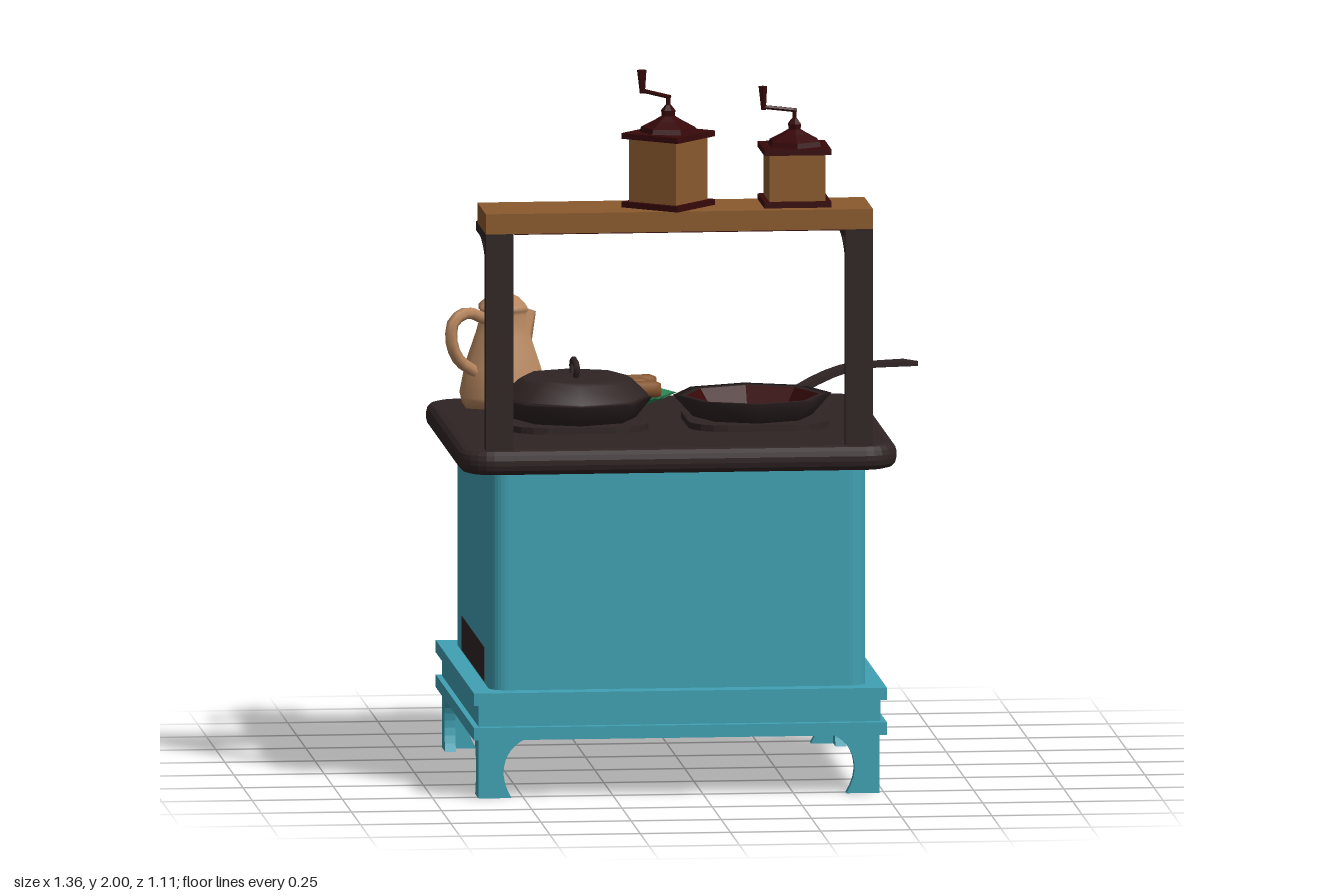
import * as THREE from 'three';

const colour = (name, hex, extra = {}) => {
  const m = new THREE.MeshStandardMaterial({ color: hex, ...extra });
  m.name = name;
  return m;
};

export function createModel() {
  const flat = { flatShading: true };
  const teal = colour('teal enamel', 0x40a1b3);
  const iron = colour('dark iron', 0x302424);
  const wood = colour('shelf wood', 0x8a5a2d, flat);
  const maroon = colour('dark red', 0x37080a, flat);
  const tan = colour('tan ceramic', 0xb98860);
  const green = colour('green glaze', 0x2e8b57);
  const brass = colour('brass', 0xbfa535);
  const brown = colour('sausage brown', 0x85532b);
  const cream = colour('egg white', 0xdaac7a, flat);
  const yolkMat = colour('egg yolk', 0x9a6c38, flat);

  const model = new THREE.Group();
  model.name = 'kitchenStove';

  const add = (name, geo, mat, x = 0, y = 0, z = 0, parent = model) => {
    const m = new THREE.Mesh(geo, mat);
    m.name = name;
    m.position.set(x, y, z);
    parent.add(m);
    return m;
  };
  // Box given by its minimum and maximum corners
  const box = (name, mat, x0, x1, y0, y1, z0, z1, parent = model) =>
    add(name, new THREE.BoxGeometry(x1 - x0, y1 - y0, z1 - z0), mat,
      (x0 + x1) / 2, (y0 + y1) / 2, (z0 + z1) / 2, parent);
  const lathe = (name, mat, pts, sides, x, y, z, parent = model) =>
    add(name, new THREE.LatheGeometry(pts.map(p => new THREE.Vector2(...p)), sides), mat, x, y, z, parent);
  // Tapered rod between two points
  const rod = (name, mat, a, b, r0, r1, parent = model, sides = 6) => {
    const p = new THREE.Vector3(...a), d = new THREE.Vector3(...b).sub(p);
    const m = add(name, new THREE.CylinderGeometry(r1, r0, d.length(), sides), mat, 0, 0, 0, parent);
    m.position.copy(p).addScaledVector(d, 0.5);
    m.quaternion.setFromUnitVectors(new THREE.Vector3(0, 1, 0), d.normalize());
    return m;
  };
  // Slab with rounded corners in plan and an optional bevelled rim
  const slab = (name, mat, x0, x1, y0, y1, z0, z1, r, bevel, steps = 4) => {
    const w = (x1 - x0) / 2 - bevel, d = (z1 - z0) / 2 - bevel, s = new THREE.Shape();
    s.absarc(w - r, d - r, r, 0, Math.PI / 2);
    s.absarc(r - w, d - r, r, Math.PI / 2, Math.PI);
    s.absarc(r - w, r - d, r, Math.PI, Math.PI * 1.5);
    s.absarc(w - r, r - d, r, Math.PI * 1.5, Math.PI * 2);
    const geo = new THREE.ExtrudeGeometry(s, {
      depth: y1 - y0 - 2 * bevel, bevelEnabled: bevel > 0, bevelThickness: bevel,
      bevelSize: bevel, bevelSegments: 3, curveSegments: steps,
    }).rotateX(-Math.PI / 2);
    return add(name, geo, mat, (x0 + x1) / 2, y0 + bevel, (z0 + z1) / 2);
  };
  // Rectangular ring, open inside
  const frame = (name, mat, x0, x1, y0, y1, z0, z1, wall) => {
    const w = (x1 - x0) / 2, d = (z1 - z0) / 2;
    const rect = (a, b) => [[-a, -b], [a, -b], [a, b], [-a, b]].map(p => new THREE.Vector2(...p));
    const s = new THREE.Shape(rect(w, d));
    s.holes.push(new THREE.Path(rect(w - wall, d - wall)));
    const geo = new THREE.ExtrudeGeometry(s, { depth: y1 - y0, bevelEnabled: false }).rotateX(-Math.PI / 2);
    return add(name, geo, mat, (x0 + x1) / 2, y0, (z0 + z1) / 2);
  };

  // Stove body, hollow plinth with mouldings, and cooktop
  slab('body', teal, -0.59, 0.455, 0.295, 0.91, -0.45, 0.495, 0.05, 0);
  box('upperMoulding', teal, -0.64, 0.505, 0.262, 0.296, -0.5, 0.55);
  box('plinth', teal, -0.625, 0.49, 0.225, 0.262, -0.48, 0.525);
  frame('plinthSkirt', teal, -0.625, 0.49, 0.2, 0.225, -0.48, 0.525, 0.03);
  frame('lowerMoulding', teal, -0.64, 0.505, 0.165, 0.2, -0.5, 0.55, 0.047);
  slab('cooktop', iron, -0.675, 0.541, 0.9, 0.97, -0.515, 0.55, 0.066, 0.028, 3);
  box('rightVent', iron, 0.449, 0.456, 0.3, 0.395, -0.28, 0.34);
  box('leftVent', iron, -0.591, -0.584, 0.3, 0.395, -0.28, 0.34);

  // Bracket feet: two curved plates meeting at each corner
  const foot = new THREE.Shape();
  foot.moveTo(0, 0);
  foot.lineTo(0.092, 0);
  foot.quadraticCurveTo(0.058, 0.055, 0.075, 0.105);
  foot.quadraticCurveTo(0.09, 0.148, 0.135, 0.166);
  foot.lineTo(0, 0.166);
  const plateA = new THREE.ExtrudeGeometry(foot, { depth: 0.03, bevelEnabled: false, curveSegments: 5 });
  const plateB = plateA.clone().rotateY(-Math.PI / 2).translate(0.03, 0, 0);
  [[-0.625, -0.48], [-0.625, 0.525], [0.487, 0.525], [0.487, -0.48]].forEach(([x, z], i) => {
    const g = new THREE.Group();
    g.name = 'foot';
    g.position.set(x, 0, z);
    g.rotation.y = i * Math.PI / 2;
    add('footPlate', plateA, teal, 0, 0, 0, g);
    add('footPlate', plateB, teal, 0, 0, 0, g);
    model.add(g);
  });

  // Four knobs on the back
  for (const x of [-0.41, 0.278]) for (const y of [0.455, 0.765]) {
    rod('knobStem', wood, [x, y, -0.44], [x, y, -0.5], 0.02, 0.038);
    const ball = lathe('knob', brass, [[0, 0], [0.036, 0.002], [0.046, 0.022], [0.03, 0.047], [0, 0.06]], 8, x, y, -0.495);
    ball.rotation.x = -Math.PI / 2;
  }

  // Shelf with posts and curved brackets
  box('shelf', wood, -0.605, 0.468, 1.572, 1.628, 0.297, 0.53);
  box('shelfUnderside', maroon, -0.525, 0.388, 1.569, 1.574, 0.3, 0.525);
  const arc = new THREE.Shape();
  arc.absellipse(0.275, 1.37, 0.228, 0.178, 0, Math.PI / 2, false);
  arc.lineTo(0.275, 1.534);
  arc.absellipse(0.275, 1.37, 0.214, 0.164, Math.PI / 2, 0, true);
  // Turn the profile so that its x runs along z
  const arcGeo = new THREE.ExtrudeGeometry(arc, { depth: 0.06, bevelEnabled: false, curveSegments: 8 })
    .rotateY(-Math.PI / 2);
  for (const x of [-0.567, 0.43]) {
    box('post', iron, x - 0.038, x + 0.038, 0.96, 1.572, 0.498, 0.53);
    box('shelfSupport', iron, x - 0.038, x + 0.038, 1.546, 1.572, 0.26, 0.53);
    add('shelfBracket', arcGeo, iron, x + 0.03, 0, 0);
  }

  // Coffee grinders
  const grinder = (x, z, turn, h) => {
    const g = new THREE.Group();
    g.name = 'coffeeGrinder';
    g.position.set(x, 1.628, z);
    g.rotation.y = turn;
    const s = 0.093, top = h + 0.032;
    box('grinderBase', maroon, -s, s, 0, 0.016, -s, s, g);
    box('grinderBox', wood, -0.078, 0.078, 0.016, h + 0.016, -0.078, 0.078, g);
    box('grinderCap', maroon, -s, s, h + 0.016, top, -s, s, g);
    lathe('grinderDome', maroon, [[0.08, 0], [0.075, 0.014], [0.04, 0.032], [0.018, 0.045],
      [0.02, 0.06], [0.008, 0.075], [0, 0.075]], 6, 0, top, 0, g);
    rod('crankShaft', maroon, [0, top + 0.06, 0], [0, top + 0.1, 0], 0.006, 0.006, g);
    rod('crankArm', maroon, [0.006, top + 0.097, 0], [-0.088, top + 0.108, 0], 0.006, 0.006, g);
    rod('crankHandle', maroon, [-0.086, top + 0.1, 0], [-0.088, top + 0.165, 0], 0.007, 0.013, g);
    model.add(g);
  };
  grinder(-0.088, 0.417, -0.69, 0.175);
  grinder(0.264, 0.399, 0, 0.13);

  // Burner plates, square with clipped corners
  for (const x of [-0.31, 0.19])
    slab('burner', iron, x - 0.195, x + 0.195, 0.965, 0.988, -0.152, 0.238, 0.1, 0, 2);

  // Lidded pan with loop handle
  lathe('coveredPan', iron, [[0, 0], [0.17, 0], [0.215, 0.055], [0.2, 0.06]], 8, -0.31, 0.988, 0.043);
  lathe('panLid', iron, [[0.2, 0], [0.205, 0.008], [0.16, 0.052], [0.145, 0.062], [0, 0.066]], 8, -0.31, 1.043, 0.043);
  const loop = new THREE.CatmullRomCurve3([[-0.045, 0], [-0.058, 0.03], [-0.035, 0.042], [0.035, 0.042],
    [0.058, 0.03], [0.045, 0]].map(([z, y]) => new THREE.Vector3(0, y, z)));
  add('lidHandle', new THREE.TubeGeometry(loop, 14, 0.009, 6), iron, -0.31, 1.103, 0.043);

  // Frying pan
  lathe('fryingPan', iron, [[0, 0], [0.165, 0], [0.22, 0.06], [0.185, 0.058]], 8, 0.183, 0.988, 0.043);
  lathe('panInside', maroon, [[0.185, 0.058], [0.15, 0.012], [0, 0.012]], 8, 0.183, 0.988, 0.043);
  const grip = new THREE.Shape();
  grip.moveTo(0, 0);
  grip.quadraticCurveTo(0.16, 0.055, 0.28, 0.042);
  grip.lineTo(0.425, 0.034);
  grip.lineTo(0.425, 0.02);
  grip.lineTo(0.28, 0.029);
  grip.quadraticCurveTo(0.16, 0.04, 0, -0.02);
  const gripGeo = new THREE.ExtrudeGeometry(grip, { depth: 1, bevelEnabled: false, curveSegments: 5 })
    .translate(0, 0, -0.5);
  const gp = gripGeo.attributes.position;
  for (let i = 0; i < gp.count; i++) gp.setZ(i, gp.getZ(i) * (0.032 + 0.07 * gp.getX(i)));
  gripGeo.computeVertexNormals();
  add('panHandle', gripGeo, iron, 0.322, 1.045, -0.1).rotation.y = 0.645;

  // Fried egg: a wavy blob with a low yolk on a charred patch
  const blob = new THREE.Shape();
  for (let i = 0; i < 16; i++) {
    const a = i / 16 * Math.PI * 2, r = 0.08 + 0.011 * Math.sin(3 * a + 1) + 0.006 * Math.cos(5 * a);
    blob[i ? 'lineTo' : 'moveTo'](r * Math.cos(a), r * Math.sin(a));
  }
  const blobGeo = new THREE.ExtrudeGeometry(blob, { depth: 0.009, bevelEnabled: false }).rotateX(-Math.PI / 2);
  const patch = add('charredPatch', blobGeo, iron, 0.178, 0.994, 0.054);
  patch.rotation.y = 1;
  patch.scale.set(1.1, 1, 1.1);
  add('eggWhite', blobGeo, cream, 0.175, 1.0, 0.06);
  const yolk = add('eggYolk', blobGeo, yolkMat, 0.18, 1.005, 0.05);
  yolk.rotation.y = 2;
  yolk.scale.set(0.6, 1, 0.6);

  // Plate of sausages
  lathe('plate', green, [[0, 0], [0.1, 0], [0.166, 0.024], [0.155, 0.027], [0.1, 0.01], [0, 0.01]], 8, -0.152, 0.972, -0.368);
  for (const [x, z, turn] of [[-0.15, -0.432, 0], [-0.176, -0.367, 0.07], [-0.15, -0.306, -0.02]]) {
    const s = lathe('sausage', brown, [[0, -0.116], [0.018, -0.114], [0.026, -0.095], [0.023, 0],
      [0.026, 0.095], [0.018, 0.114], [0, 0.116]], 8, x, 1.013, z);
    s.rotation.set(0, turn, Math.PI / 2);
  }

  // Coffee pot, its handle along local -x
  const pot = new THREE.Group();
  pot.name = 'coffeePot';
  pot.position.set(-0.468, 0.97, -0.355);
  pot.rotation.y = 0.6;
  model.add(pot);
  const jug = lathe('potBody', tan, [[0, 0], [0.125, 0], [0.132, 0.03], [0.115, 0.11], [0.082, 0.2], [0.066, 0.255],
    [0.074, 0.265], [0.074, 0.277], [0.055, 0.295], [0.022, 0.312], [0.01, 0.322], [0.02, 0.338], [0.014, 0.354], [0, 0.36]],
    6, 0, 0, 0, pot);
  jug.rotation.y = -0.6;
  const ear = new THREE.CatmullRomCurve3([[-0.065, 0.245], [-0.13, 0.268], [-0.18, 0.245], [-0.185, 0.19],
    [-0.16, 0.14], [-0.1, 0.1]].map(([x, y]) => new THREE.Vector3(x, y, 0)));
  add('potHandle', new THREE.TubeGeometry(ear, 12, 0.017, 6), tan, 0, 0, 0, pot);
  rod('potSpout', tan, [0.055, 0.15, 0], [0.1, 0.255, 0], 0.035, 0.015, pot);

  return model;
}
